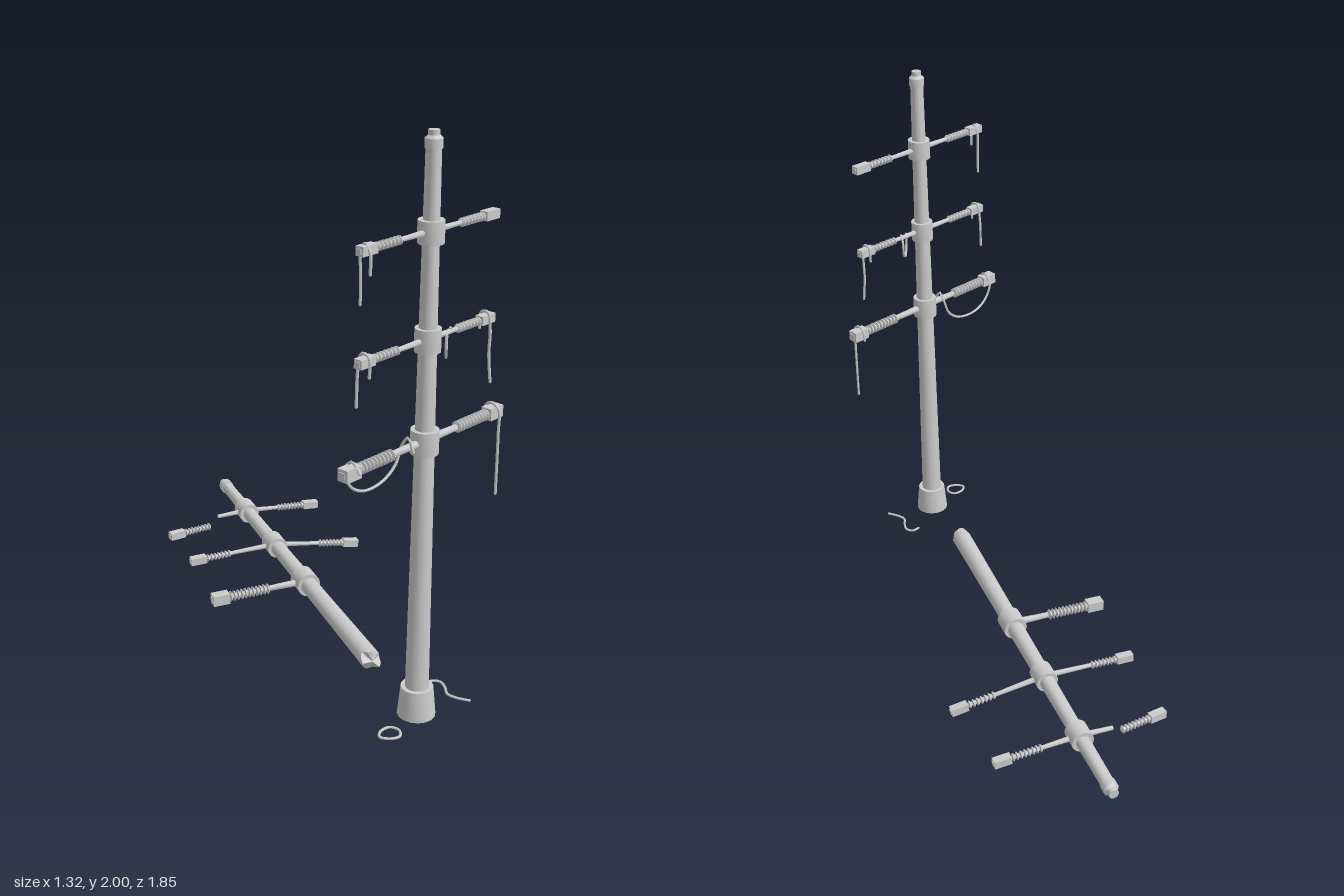
import * as THREE from 'three';
import { toCreasedNormals } from 'three/addons/utils/BufferGeometryUtils.js';

const grey = new THREE.MeshStandardMaterial({ color: 0xcccccc });
const V = (p) => new THREE.Vector3(...p);

function add(parent, name, geometry, x = 0, y = 0, z = 0) {
  const mesh = new THREE.Mesh(geometry, grey);
  mesh.name = name;
  mesh.position.set(x, y, z);
  parent.add(mesh);
  return mesh;
}

function lathe(profile, sides) {
  const pts = profile.map(([r, y]) => new THREE.Vector2(r, y));
  return toCreasedNormals(new THREE.LatheGeometry(pts, sides), 0.6);
}

// Shaft radius at a given height of the pole
const shaftRadius = (y) => 0.041 - 0.0085 * y;

// Upper pole: tapered shaft, cap and three collars
function poleShaft(group, bottom, jagged) {
  const h = 1.95 - bottom;
  const shaft = new THREE.CylinderGeometry(shaftRadius(1.95), shaftRadius(bottom), h, 16);
  if (jagged) {
    const p = shaft.attributes.position;
    for (let i = 0; i < p.count; i++) {
      if (p.getY(i) > 0) continue;
      const a = Math.atan2(p.getZ(i), p.getX(i));
      const rim = Math.hypot(p.getX(i), p.getZ(i)) > 0.01;
      p.setY(i, p.getY(i) + (rim ? 0.012 * Math.sin(3 * a + 0.6) + 0.008 * Math.cos(5 * a) : -0.015));
    }
  }
  add(group, 'shaft', toCreasedNormals(shaft, 0.6), 0, bottom + h / 2);
  add(group, 'cap', lathe([[0, 1.945], [0.028, 1.945], [0.028, 1.975], [0.018, 1.984], [0.018, 2], [0, 2]], 16));
  for (const [y, r, half] of [[1.02, 0.046, 0.04], [1.355, 0.042, 0.038], [1.695, 0.042, 0.036]]) {
    add(group, 'collar', lathe([[0, -half], [r, -half], [r, half], [0, half]], 16), 0, y);
  }
}

// Ribbed insulator with a clamp block, running outwards along +x
function insulator(group, start, end, s) {
  const length = end - start - 0.065;
  const ribs = Math.round(length / 0.0155);
  const profile = [[0, 0]];
  for (let i = 0; i < ribs; i++) {
    const y = (i / ribs) * length, step = length / ribs;
    profile.push([0.008 * s, y], [0.015 * s, y + step * 0.35], [0.015 * s, y + step * 0.55], [0.008 * s, y + step * 0.8]);
  }
  profile.push([0.008 * s, length + 0.005], [0, length + 0.005]);
  add(group, 'insulator', lathe(profile, 10), start).rotation.z = -Math.PI / 2;
  add(group, 'clampBlock', new THREE.BoxGeometry(0.065, 0.03 * s, 0.03 * s), end - 0.0325);
  add(group, 'clampPin', new THREE.BoxGeometry(0.006, 0.016 * s, 0.016 * s), end);
}

// One arm; angle pi points it to the other side of the pole
function arm(parent, y, angle, rodEnd, end, s, whole = true) {
  const group = new THREE.Group();
  group.name = 'arm';
  group.position.y = y;
  group.rotation.y = angle;
  parent.add(group);
  const rod = new THREE.CylinderGeometry(0.008 * s, 0.011 * s, rodEnd, 8);
  add(group, 'armRod', toCreasedNormals(rod, 0.9), rodEnd / 2).rotation.z = -Math.PI / 2;
  if (whole) insulator(group, rodEnd, end, s);
}

// Loose cable through a few points, ends closed by small spheres
function cable(parent, points, closed = false) {
  const curve = new THREE.CatmullRomCurve3(points.map(V), closed);
  add(parent, 'cable', new THREE.TubeGeometry(curve, 32, 0.005, 6, closed));
  if (closed) return;
  for (const p of [points[0], points[points.length - 1]]) {
    add(parent, 'cableEnd', new THREE.SphereGeometry(0.005, 6, 4), ...p);
  }
}

export function createModel() {
  const model = new THREE.Group();
  model.name = 'utilityPoles';

  // Standing pole
  const standing = new THREE.Group();
  standing.name = 'standingPole';
  standing.position.set(-0.28, 0, 0.83);
  model.add(standing);
  add(standing, 'base', lathe([[0, 0.035], [0.065, 0.035], [0.055, 0.14], [0, 0.14]], 16));
  poleShaft(standing, 0.13, false);
  for (const angle of [0, Math.PI]) {
    arm(standing, 1.02, angle, 0.155, 0.38, 1.35);
    arm(standing, 1.355, angle, 0.14, 0.32, 1);
    arm(standing, 1.695, angle, 0.14, 0.32, 1);
  }

  // Cables on the standing pole
  cable(standing, [[-0.335, 1.02, 0.03], [-0.335, 1.052, 0], [-0.335, 1.02, -0.033], [-0.31, 0.955, -0.033],
    [-0.26, 0.922, -0.033], [-0.2, 0.915, -0.033], [-0.14, 0.93, -0.033], [-0.1, 0.965, -0.03],
    [-0.082, 1.02, -0.025], [-0.08, 1.053, 0], [-0.08, 1.01, 0.022]]);
  cable(standing, [[0.345, 1.0, -0.03], [0.345, 1.04, -0.024], [0.345, 1.052, 0], [0.345, 1.035, 0.027],
    [0.345, 0.95, 0.03], [0.345, 0.735, 0.03]]);
  cable(standing, [[0.285, 1.32, -0.02], [0.285, 1.375, -0.015], [0.285, 1.378, 0.012], [0.286, 1.32, 0.022],
    [0.287, 1.24, 0.02], [0.292, 1.145, 0.026]]);
  cable(standing, [[-0.29, 1.31, 0.02], [-0.29, 1.372, 0.018], [-0.29, 1.38, -0.01], [-0.29, 1.33, -0.025],
    [-0.29, 1.205, -0.03]]);
  cable(standing, [[0.07, 1.355, 0.016], [0.072, 1.3, 0.016], [0.092, 1.273, 0], [0.113, 1.29, -0.016],
    [0.116, 1.345, -0.016], [0.11, 1.366, 0]]);
  cable(standing, [[-0.296, 1.625, 0.022], [-0.296, 1.69, 0.02], [-0.293, 1.714, 0], [-0.29, 1.69, -0.02],
    [-0.288, 1.6, -0.022], [-0.288, 1.525, -0.022]]);

  // Cable scraps on the ground
  cable(model, [[-0.475, 0.037, 0.84], [-0.45, 0.037, 0.82], [-0.41, 0.037, 0.825], [-0.4, 0.037, 0.855],
    [-0.425, 0.037, 0.883], [-0.455, 0.037, 0.873]], true);
  cable(model, [[-0.12, 0.037, 0.742], [-0.09, 0.037, 0.745], [-0.077, 0.037, 0.77], [-0.095, 0.037, 0.805],
    [-0.12, 0.037, 0.835], [-0.118, 0.037, 0.87], [-0.1, 0.037, 0.915]]);

  // Fallen pole, broken off near the bottom and lying on the ground
  const fallen = new THREE.Group();
  fallen.name = 'fallenPole';
  const along = V([0.412, 0.006, -0.911]).normalize();
  const across = V([0.911, 0, 0.412]).normalize();
  const up = new THREE.Vector3().crossVectors(across, along);
  fallen.quaternion.setFromRotationMatrix(new THREE.Matrix4().makeBasis(across, along, up));
  fallen.position.set(0.08, 0.073, -0.03).addScaledVector(along, -1.02);
  model.add(fallen);
  poleShaft(fallen, 0.4, true);
  arm(fallen, 1.02, Math.PI - 0.02, 0.15, 0.38, 1.35);
  arm(fallen, 1.355, 0.155, 0.195, 0.37, 1);
  arm(fallen, 1.355, Math.PI - 0.03, 0.19, 0.36, 1);
  arm(fallen, 1.695, 0.07, 0.14, 0.324, 1);
  arm(fallen, 1.695, Math.PI - 0.05, 0.13, 0, 1, false);

  // Insulator snapped off the last arm
  const loose = new THREE.Group();
  loose.name = 'looseInsulator';
  loose.position.set(0.2, 0.037, -0.705);
  loose.rotation.y = Math.PI - 0.264;
  model.add(loose);
  insulator(loose, 0, 0.188, 1);

  return model;
}
